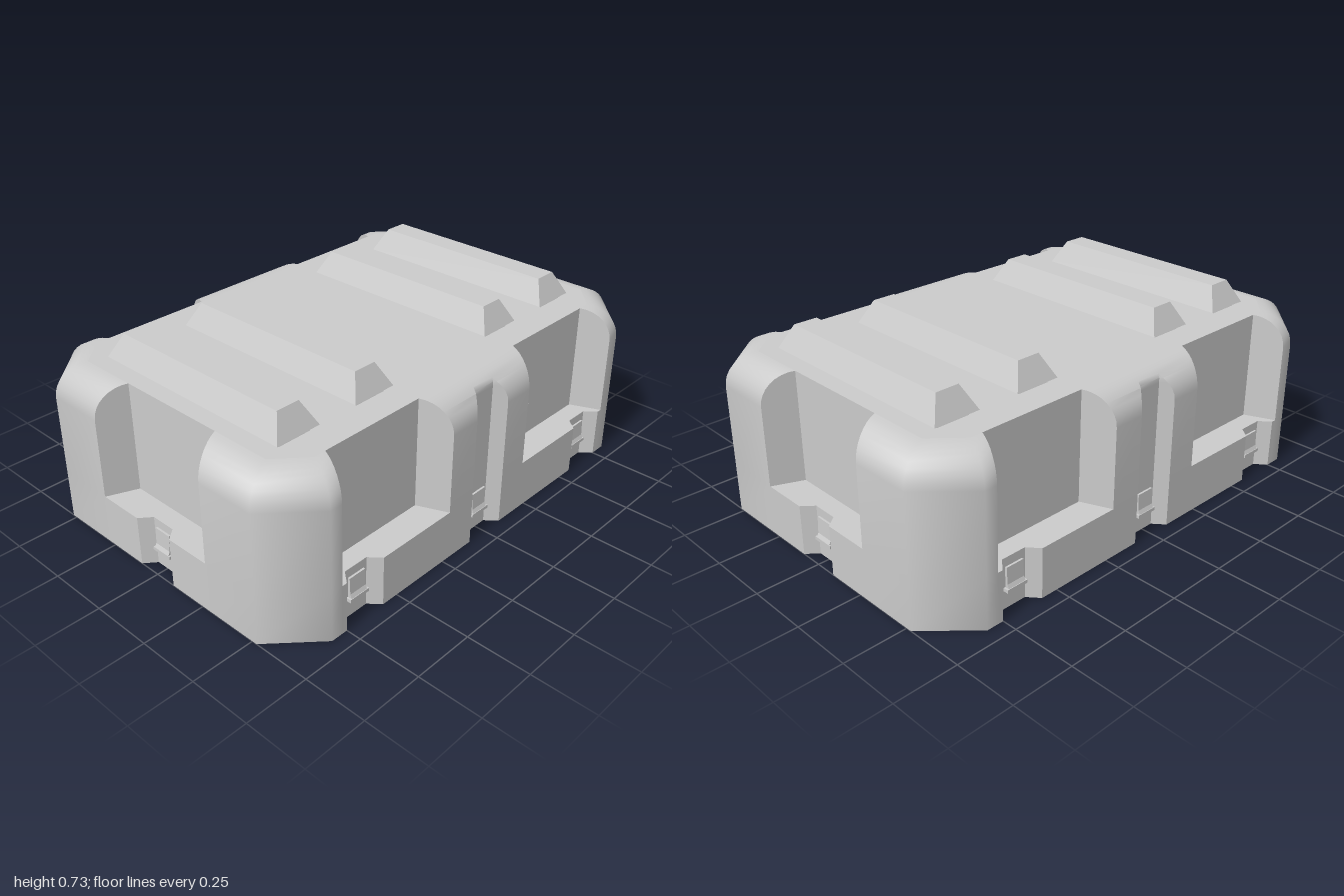
import * as THREE from 'three';
import { toCreasedNormals } from 'three/addons/utils/BufferGeometryUtils.js';

const W = 1, D = 0.69, TOP = 0.64, R = 0.12, FLOOR = 0.2, WALL = 0.03, NOTCH = 0.045;
const lerp = THREE.MathUtils.lerp;
const grey = new THREE.MeshStandardMaterial({ color: 0xcccccc, side: THREE.DoubleSide });
const flat = new THREE.MeshStandardMaterial({ color: 0xcccccc, side: THREE.DoubleSide, flatShading: true });

function mesh(name, geometry, material = grey) {
  const m = new THREE.Mesh(geometry, material);
  m.name = name;
  return m;
}

// Each cut is a list of [position along the side, depth]; t is the inset, w the wall offset
function notch(c, t, w) {
  const d = NOTCH + w, i = 0.052 + w / 2;
  const o = lerp(0.09 + w / 2, i, Math.min(t / d, 1));
  const deep = Math.max(d, t);
  return [[c - o, t], [c - i, deep], [c + i, deep], [c + o, t]];
}

function recess(a, b, t, w) {
  const d = R + w, s = 0.05 * Math.min(t / d, 1);
  return [[a - w + s, t], [a - w + 0.05, d], [b + w - 0.05, d], [b + w - s, t]];
}

// A side's recess, with the latch notch below the ledge
function bay(a, b, c, t, up, w) {
  const n = notch(c, t, w), two = c === 0;
  if (!up) return [[a, t], [a + 0.05, t], ...n, ...(two ? [[b - 0.05, t]] : []), [b, t]];
  const r = recess(a, b, t, w), d = R + w;
  const back = n.slice(0, two ? 4 : 3).map(([u]) => [u, d]);
  return [r[0], r[1], ...back, r[2], r[3]];
}

// Chamfered outline with its cuts at one height
function outline(y, t, up, w) {
  const bayR = bay(0.22, 0.77, 0.66, t, up, w);
  const bayL = bayR.map(([u, d]) => [-u, d]).reverse();
  const front = [...bayL, ...notch(0, t, w), ...bayR];
  const side = bay(-0.28, 0.28, 0, t, up, w);
  const cx = 0.82 - 0.41 * t, cz = 0.52 - 0.41 * t;
  const half = [
    [-cx, D - t], ...front.map(([u, d]) => [u, D - d]), [cx, D - t],
    [W - t, cz], ...side.map(([u, d]) => [W - d, -u]), [W - t, -cz],
  ];
  return [...half, ...half.map(([x, z]) => [-x, -z])].map(([x, z]) => new THREE.Vector3(x, y, z));
}

// Joins closed loops of equal length
function loft(loops) {
  const out = [], area = new THREE.Triangle();
  const tri = (a, b, c) => {
    if (area.set(a, b, c).getArea() > 1e-8) for (const p of [a, b, c]) out.push(p.x, p.y, p.z);
  };
  for (let j = 0; j + 1 < loops.length; j++) {
    const lo = loops[j], hi = loops[j + 1];
    for (let i = 0; i < lo.length; i++) {
      const k = (i + 1) % lo.length;
      tri(lo[i], lo[k], hi[k]);
      tri(lo[i], hi[k], hi[i]);
    }
  }
  const g = new THREE.BufferGeometry();
  g.setAttribute('position', new THREE.Float32BufferAttribute(out, 3));
  return toCreasedNormals(g, 0.83);
}

// Rounded upper edge, from wall to top
function upperLoops(top, w) {
  const loops = [outline(FLOOR - w, w, true, w)];
  for (let k = 0; k <= 8; k++) {
    const a = (k / 8) * Math.PI / 2;
    loops.push(outline(top - R + R * Math.sin(a), w + R * (1 - Math.cos(a)), true, w));
  }
  return loops;
}

// Flat panel with openings under the hollow ridges
const RIDGES = [-0.715, -0.355, 0.355, 0.715];
function panel(y, t, hx, hz) {
  const cx = 0.82 - 0.41 * t, cz = 0.52 - 0.41 * t, x = W - t, z = D - t;
  const pts = [[-cx, -z], [cx, -z], [x, -cz], [x, cz], [cx, z], [-cx, z], [-x, cz], [-x, -cz]];
  const shape = new THREE.Shape(pts.map(p => new THREE.Vector2(...p)));
  for (const c of RIDGES) {
    const hole = [[-hx, -hz], [-hx, hz], [hx, hz], [hx, -hz]];
    shape.holes.push(new THREE.Path(hole.map(([u, v]) => new THREE.Vector2(c + u, v))));
  }
  return new THREE.ShapeGeometry(shape).rotateX(-Math.PI / 2).translate(0, y, 0);
}

// Tapered ridge without its bottom face
function ridge(hx, hz, y0, y1) {
  const g = new THREE.BoxGeometry(2, 1, 2), p = g.attributes.position;
  for (let i = 0; i < p.count; i++) {
    const top = p.getY(i) > 0, s = top ? 0.047 : 0;
    p.setXYZ(i, p.getX(i) * (hx - s), top ? y1 : y0, p.getZ(i) * (hz - s));
  }
  g.setIndex([...g.index.array].filter((_, i) => i < 18 || i >= 24));
  return g;
}

// Latch plate with a wider lip at its foot
function latch() {
  const group = new THREE.Group();
  group.name = 'latch';
  const profile = [[-0.005, 0.165], [0.008, 0.165], [0.011, 0.1], [0.018, 0.085], [-0.005, 0.085]];
  const plate = new THREE.ExtrudeGeometry(
    new THREE.Shape(profile.map(p => new THREE.Vector2(...p))), { depth: 0.075, bevelEnabled: false });
  plate.rotateY(-Math.PI / 2).translate(0.0375, 0, 0);
  group.add(mesh('latchPlate', plate, flat));
  group.add(mesh('latchLip', new THREE.BoxGeometry(0.09, 0.013, 0.025).translate(0, 0.079, 0.0075), flat));
  return group;
}

export function createModel() {
  const model = new THREE.Group();
  model.name = 'caseLid';

  // Shell: down the inside, across the rim and up the outside
  const ceiling = TOP - WALL;
  const inside = [
    outline(0, 0.075, false, WALL), outline(0.05, 0.075, false, WALL),
    outline(0.05, 0.04, false, WALL), outline(FLOOR - WALL, 0.04, false, WALL),
    ...upperLoops(ceiling, WALL),
  ].reverse();
  const outside = [outline(0, 0, false, 0), outline(FLOOR, 0, false, 0), ...upperLoops(TOP, 0)];
  model.add(mesh('shell', loft([...inside, ...outside])));
  model.add(mesh('topPanel', panel(TOP, R, 0.095, 0.45)));
  model.add(mesh('ceiling', panel(ceiling, R + WALL, 0.075, 0.43)));

  // Stacking ridges, hollow from below
  for (const x of RIDGES) {
    const outer = mesh('ridge', ridge(0.095, 0.447, TOP, 0.733), flat);
    const inner = mesh('ridgeHollow', ridge(0.075, 0.43, ceiling, 0.71), flat);
    outer.position.x = inner.position.x = x;
    model.add(outer, inner);
  }

  // Latches: three front, three back, one on each end
  const places = [];
  for (const s of [1, -1]) {
    for (const x of [-0.66, 0, 0.66]) places.push([x, s * (D - NOTCH), s > 0 ? 0 : Math.PI]);
    places.push([s * (W - NOTCH), 0, s * Math.PI / 2]);
  }
  for (const [x, z, turn] of places) {
    const l = latch();
    l.position.set(x, 0, z);
    l.rotation.y = turn;
    model.add(l);
  }

  // Hexagonal valve through the front recess wall
  const hex = new THREE.CylinderGeometry(0.055, 0.055, 0.05, 6).rotateY(Math.PI / 6).rotateX(Math.PI / 2);
  const valve = mesh('valve', hex, flat);
  valve.position.set(0.37, 0.295, 0.555);
  model.add(valve);
  return model;
}
